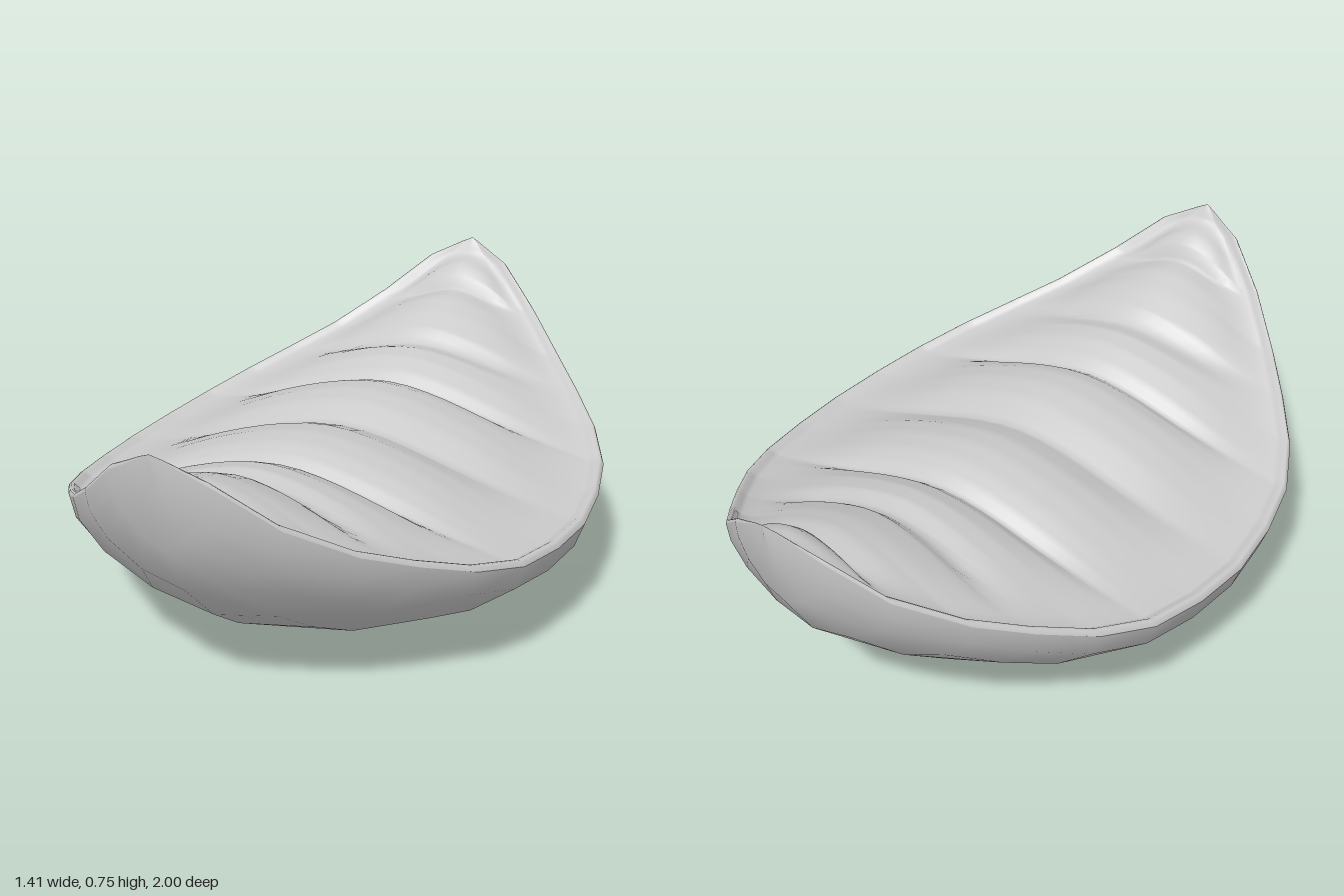
import * as THREE from 'three';

// Half-length stations: [z, rim half width, rim height, keel height]
const STATIONS = [
  [0, 0.705, 0.305, 0], [0.18, 0.69, 0.313, 0.01], [0.35, 0.655, 0.332, 0.035],
  [0.5, 0.585, 0.372, 0.075], [0.63, 0.49, 0.425, 0.145], [0.75, 0.39, 0.483, 0.23],
  [0.88, 0.26, 0.58, 0.36], [0.96, 0.135, 0.69, 0.5], [0.99, 0.034, 0.737, 0.65],
  [1, 0, 0.75, 0.72],
];
// Centre line of the flesh: [z, height], with a valley between every two humps
const FLESH = [
  [0, 0.452], [0.04, 0.468], [0.1, 0.49], [0.18, 0.5], [0.26, 0.495], [0.31, 0.48], [0.35, 0.455],
  [0.39, 0.487], [0.45, 0.513], [0.51, 0.522], [0.56, 0.512], [0.58, 0.512], [0.62, 0.55],
  [0.7, 0.585], [0.78, 0.608], [0.855, 0.612], [0.872, 0.655], [0.9, 0.68], [0.93, 0.69],
  [0.96, 0.695], [0.975, 0.705], [0.99, 0.737], [1, 0.75],
];
// Mean line of the flesh, which the humps fade into towards the sides
const MEAN = [[0, 0.475], [0.35, 0.485], [0.57, 0.53], [0.7, 0.57], [0.86, 0.635], [0.93, 0.685],
  [0.96, 0.695], [0.975, 0.705], [0.99, 0.737], [1, 0.75]];
// Cross profile of the flesh: [fraction of half width, share of the rise]
const ARCH = [[0, 1], [0.1, 0.975], [0.2, 0.91], [0.3, 0.82], [0.4, 0.71], [0.5, 0.59], [0.6, 0.46],
  [0.7, 0.32], [0.8, 0.19], [0.9, 0.08], [1, 0]];
// Rolled rim lip, from the flesh to the outer edge: [fraction, height offset]
const LIP = [[0, -0.012], [0.3, -0.007], [0.55, 0], [0.75, 0], [0.9, -0.005], [1, -0.016]];
// Hull cross-section: [fraction of width, fraction of height]
const SECTION = [[-1, 1], [-0.965, 0.76], [-0.79, 0.45], [-0.44, 0.15], [0, 0],
  [0.44, 0.15], [0.79, 0.45], [0.965, 0.76], [1, 1]];

// Linear lookup in a table sorted by its first column
function lookup(table, z, col) {
  let i = 1;
  while (i < table.length - 1 && table[i][0] < z) i++;
  const a = table[i - 1], b = table[i];
  const k = THREE.MathUtils.clamp((z - a[0]) / (b[0] - a[0]), 0, 1);
  return a[col] + (b[col] - a[col]) * k;
}

// Smooth grid surface; rows run along z, columns along x
function gridSurface(rows, cols, point, facesUp) {
  const pos = [], idx = [];
  for (const z of rows) for (const c of cols) pos.push(...point(z, c));
  const n = cols.length;
  for (let i = 0; i < rows.length - 1; i++) {
    for (let j = 0; j < n - 1; j++) {
      const a = i * n + j, b = a + n, c = b + 1, d = a + 1;
      if (facesUp) idx.push(a, b, d, b, c, d);
      else idx.push(a, d, b, b, d, c);
    }
  }
  const geo = new THREE.BufferGeometry();
  geo.setAttribute('position', new THREE.Float32BufferAttribute(pos, 3));
  geo.setIndex(idx);
  geo.computeVertexNormals();
  return geo;
}

const mirrored = (vs) => [...new Set([...vs.map((v) => -v), ...vs].map((v) => v + 0))].sort((a, b) => a - b);

// Height of the rolled lip, which thins out towards the tips
const lipHeight = (d, k) => lookup(STATIONS, d, 2) + lookup(LIP, k, 1) * Math.min(1, lookup(STATIONS, d, 1) / 0.1);

// Point on the upper side: |u| up to 1 is flesh, from 1 to 2 is rim lip
function topPoint(z, u) {
  const { smoothstep } = THREE.MathUtils;
  const d = Math.abs(z), t = Math.abs(u), side = Math.sign(u);
  const w = lookup(STATIONS, d, 1), inner = w - Math.min(0.045, 0.4 * w);
  if (t > 1) return [side * (inner + (w - inner) * (t - 1)), lipHeight(d, t - 1), z];
  const x = u * inner, base = lipHeight(d, 0);
  // Creases of the outer humps bow towards the tips
  const bow = 0.35 * x * x * smoothstep(d, 0.4, 0.55) * (1 - smoothstep(d, 0.75, 0.88));
  const mean = lookup(MEAN, d, 1);
  const relief = (lookup(FLESH, d - bow, 1) - lookup(MEAN, d - bow, 1)) * (1 - smoothstep(t, 0.4, 0.95));
  return [x, base + (mean - base) * lookup(ARCH, t, 1) + relief, z];
}

export function createModel() {
  const group = new THREE.Group();
  group.name = 'fruitSlice';
  const material = new THREE.MeshStandardMaterial({ color: 0xcccccc, roughness: 0.8, side: THREE.DoubleSide });

  // Curved outer rind
  const hull = gridSurface(mirrored(STATIONS.map((s) => s[0])), SECTION, (z, [u, h]) => {
    const d = Math.abs(z), keel = lookup(STATIONS, d, 3);
    return [u * lookup(STATIONS, d, 1), keel + (lipHeight(d, 1) - keel) * h, z];
  }, false);
  const rind = new THREE.Mesh(hull, material);
  rind.name = 'rind';

  // Humped flesh and the rim lip around it
  const zs = [...STATIONS, ...FLESH].map((s) => s[0]);
  for (let i = 1; i < 50; i++) zs.push(i / 50);
  const cols = mirrored([...ARCH.map((a) => a[0]), ...LIP.map((l) => 1 + l[0])]);
  const flesh = new THREE.Mesh(gridSurface(mirrored(zs), cols, topPoint, true), material);
  flesh.name = 'flesh';

  group.add(rind, flesh);
  return group;
}
